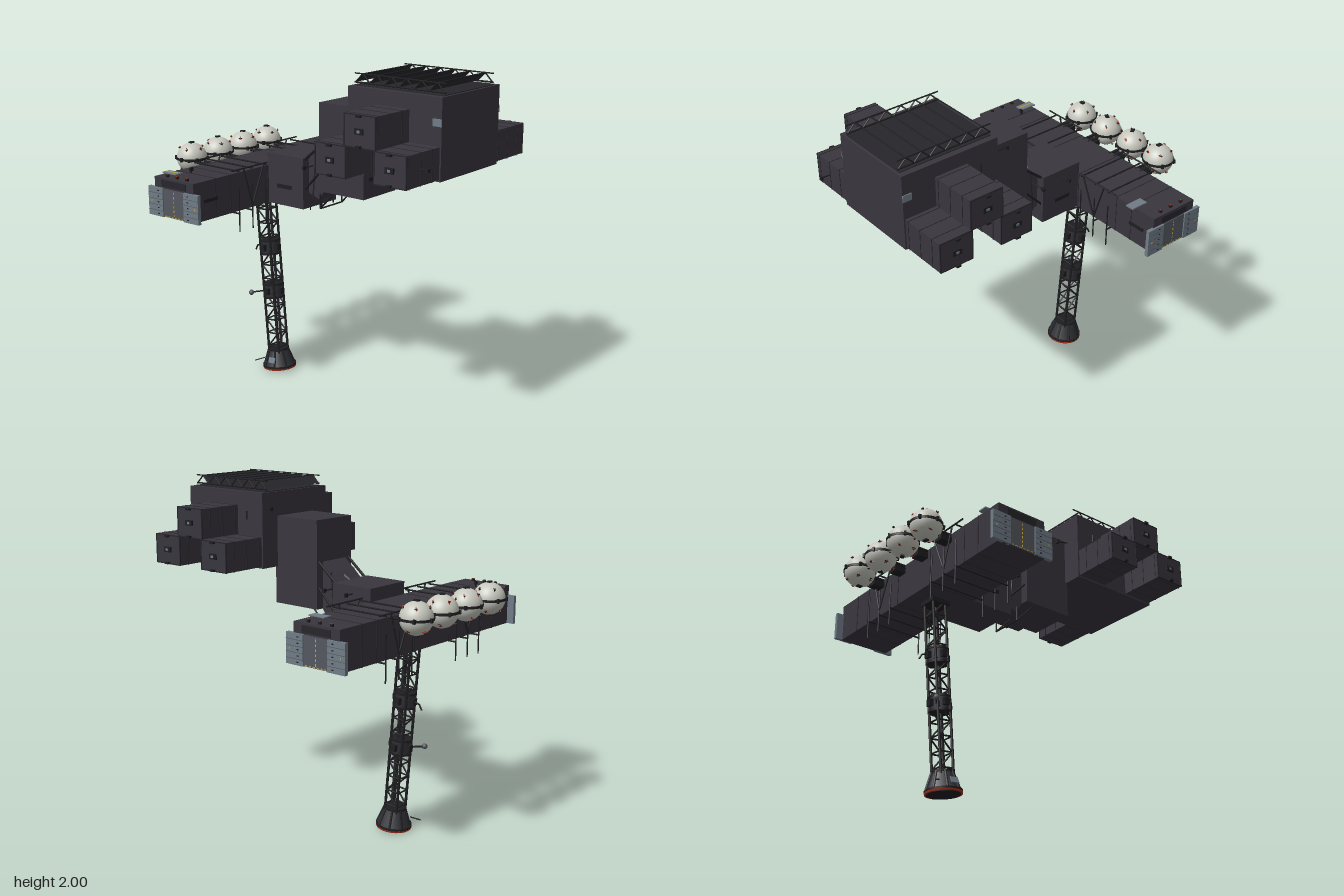
import * as THREE from 'three';

const mat = (name, color, side = THREE.FrontSide) => {
  const m = new THREE.MeshStandardMaterial({ color, side });
  m.name = name;
  return m;
};

export function createModel() {
  const hull = mat('hull', 0x39363e);
  const seam = mat('seam', 0x27262b);
  const frame = mat('frame', 0x1f1f22);
  const sheet = mat('roof sheet', 0x2a292f, THREE.DoubleSide);
  const steel = mat('steel', 0x707c87);
  const panel = mat('panel', 0x54585f);
  const white = mat('tank white', 0xc6c7bd);
  const red = mat('red', 0xa8301c);
  const yellow = mat('yellow', 0xc9a62e);
  const footGrey = mat('foot grey', 0x2f3035);

  const root = new THREE.Group();
  root.name = 'station';

  const add = (parent, name, geo, m, x = 0, y = 0, z = 0) => {
    const mesh = new THREE.Mesh(geo, m);
    mesh.name = name;
    mesh.position.set(x, y, z);
    parent.add(mesh);
    return mesh;
  };
  // Box given by its lower and upper corners
  const block = (parent, name, a, b, m) =>
    add(parent, name, new THREE.BoxGeometry(b[0] - a[0], b[1] - a[1], b[2] - a[2]), m,
      (a[0] + b[0]) / 2, (a[1] + b[1]) / 2, (a[2] + b[2]) / 2);
  const box = (parent, name, w, h, d, m, x, y, z) =>
    add(parent, name, new THREE.BoxGeometry(w, h, d), m, x, y, z);
  // Thin rod between two points
  const rod = (parent, name, a, b, m = frame, r = 0.005) => {
    const p = new THREE.Vector3(...a), q = new THREE.Vector3(...b);
    const mesh = add(parent, name, new THREE.CylinderGeometry(r, r, p.distanceTo(q), 6), m);
    mesh.position.copy(p).add(q).multiplyScalar(0.5);
    mesh.quaternion.setFromUnitVectors(new THREE.Vector3(0, 1, 0), q.sub(p).normalize());
    return mesh;
  };

  // Main hull blocks
  block(root, 'crossModule', [-0.72, 1.14, -0.775], [-0.405, 1.37, 0.775], hull);
  block(root, 'linkModule', [-0.41, 1.14, -0.152], [-0.133, 1.445, 0.152], hull);
  block(root, 'towerModule', [-0.01, 1.27, -0.152], [0.315, 1.79, 0.152], hull);
  block(root, 'mainModule', [0.3, 1.49, -0.276], [0.912, 1.932, 0.276], hull);
  for (const z of [-0.6, -0.48, -0.16, 0.16, 0.48, 0.6])
    block(root, 'crossSeam', [-0.722, 1.139, z - 0.002], [-0.403, 1.372, z + 0.002], seam);

  // Angled joint between link and tower
  const joint = new THREE.Shape([[-0.14, 1.235], [-0.055, 1.205], [0, 1.28], [0, 1.555], [-0.075, 1.49], [-0.14, 1.43]]
    .map(p => new THREE.Vector2(...p)));
  const jointGeo = new THREE.ExtrudeGeometry(joint, { depth: 0.2, bevelEnabled: false });
  add(root, 'angledJoint', jointGeo, hull, 0, 0, -0.1);
  for (const s of [-1, 1]) {
    rod(root, 'jointRail', [-0.145, 1.43, s * 0.13], [0, 1.55, s * 0.13], frame, 0.008);
    rod(root, 'jointRail', [-0.145, 1.25, s * 0.13], [0, 1.4, s * 0.13], frame, 0.007);
    rod(root, 'jointSeam', [-0.1, 1.215, s * 0.1], [-0.075, 1.49, s * 0.1], seam, 0.005);
    rod(root, 'jointBrace', [-0.045, 1.15, s * 0.1], [0.07, 1.27, s * 0.1], frame, 0.005);
    rod(root, 'jointBrace', [-0.045, 1.15, s * 0.1], [-0.045, 1.24, s * 0.1], frame, 0.005);
  }
  rod(root, 'jointBraceFoot', [-0.045, 1.15, -0.1], [-0.045, 1.15, 0.1]);
  const label = box(root, 'jointLabel', 0.05, 0.006, 0.03, steel, -0.12, 1.453, -0.01);
  label.rotation.set(0, 0.7, 0.7);

  // Side pods in a pyramid on both flanks of the main module
  for (const s of [-1, 1]) {
    for (const [x, y] of [[0.412, 1.588], [0.605, 1.763], [0.8, 1.588]]) {
      const pod = new THREE.Group();
      pod.name = 'sidePod';
      pod.position.set(x, y, s * 0.42);
      root.add(pod);
      box(pod, 'podBody', 0.205, 0.174, 0.29, hull, 0, 0, 0);
      for (const z of [-0.08, 0.02, 0.12]) box(pod, 'podSeam', 0.209, 0.178, 0.004, seam, 0, 0, z);
      for (const t of [-1, 1]) {
        box(pod, 'podEdge', 0.207, 0.006, 0.006, seam, 0, t * 0.085, s * 0.144);
        box(pod, 'podEdge', 0.006, 0.176, 0.006, seam, t * 0.101, 0, s * 0.144);
      }
      box(pod, 'podHatch', 0.055, 0.032, 0.012, frame, 0, 0, s * 0.149);
      box(pod, 'hatchPlate', 0.018, 0.014, 0.004, steel, 0, 0, s * 0.156);
      box(pod, 'podLatch', 0.028, 0.012, 0.022, frame, 0, 0.08, s * 0.153);
      box(pod, 'podLatch', 0.028, 0.012, 0.022, frame, 0, -0.08, s * 0.153);
    }
    box(root, 'mainLabel', 0.055, 0.04, 0.006, steel, 0.885, 1.8, s * 0.278);
    rod(root, 'mainHandle', [0.42, 1.77, s * 0.285], [0.42, 1.82, s * 0.285], frame, 0.004);
  }

  // Roof: folded sheet on end trusses
  const roof = new THREE.Group();
  roof.name = 'roofArray';
  root.add(roof);
  block(roof, 'roofDeck', [0.315, 1.93, -0.24], [0.897, 1.936, 0.24], seam);
  const folds = 6, x0 = 0.315, step = 0.58 / folds;
  const fold = (x1, y1, x2, y2) => {
    const m = add(roof, 'roofFold', new THREE.PlaneGeometry(Math.hypot(x2 - x1, y2 - y1), 0.45), sheet,
      (x1 + x2) / 2, (y1 + y2) / 2, 0);
    m.rotation.set(-Math.PI / 2, Math.atan2(y1 - y2, x2 - x1), 0);
  };
  for (let i = 0; i < folds; i++) {
    const x = x0 + i * step;
    fold(x, 1.948, x + step * 0.5, 1.995);
    for (const z of [-0.228, 0.228]) {
      rod(roof, 'roofDiagonal', [x, 1.948, z], [x + step / 2, 1.996, z], frame, 0.004);
      rod(roof, 'roofDiagonal', [x + step / 2, 1.996, z], [x + step, 1.948, z], frame, 0.004);
    }
    rod(roof, 'roofRidge', [x + step / 2, 1.995, -0.23], [x + step / 2, 1.995, 0.23], frame, 0.004);
  }
  for (const z of [-0.228, 0.228]) {
    rod(roof, 'roofRail', [0.31, 1.996, z], [0.9, 1.996, z], frame, 0.004);
    rod(roof, 'roofRail', [0.31, 1.948, z], [0.9, 1.948, z], frame, 0.005);
  }

  // Armoured end caps of the cross module
  for (const s of [-1, 1]) {
    const cap = new THREE.Group();
    cap.name = 'endCap';
    cap.position.set(-0.5625, 0, s * 0.776);
    root.add(cap);
    box(cap, 'capCentre', 0.17, 0.165, 0.008, panel, 0, 1.225, 0);
    for (const t of [-1, 1]) {
      box(cap, 'capPlate', 0.118, 0.17, 0.022, steel, t * 0.143, 1.225, 0);
      for (let i = 1; i < 5; i++) box(cap, 'plateSeam', 0.118, 0.003, 0.002, panel, t * 0.143, 1.14 + i * 0.034, s * 0.011);
      for (let i = 0; i < 5; i++) box(cap, 'plateBolt', 0.012, 0.006, 0.003, frame, t * 0.12, 1.157 + i * 0.034, s * 0.011);
      box(cap, 'capDot', 0.008, 0.008, 0.003, yellow, t * 0.175, 1.225, s * 0.0115);
    }
    for (let i = 0; i < 6; i++) {
      box(cap, 'centreDash', 0.005, 0.014, 0.003, yellow, 0, 1.16 + i * 0.026, s * 0.004);
      box(cap, 'baseDash', 0.014, 0.005, 0.003, yellow, -0.065 + i * 0.026, 1.147, s * 0.004);
    }
    for (const x of [-0.08, 0, 0.08]) {
      box(cap, 'topLamp', 0.016, 0.014, 0.014, frame, x, 1.377, -s * 0.03);
      box(cap, 'lampGlass', 0.009, 0.006, 0.009, red, x, 1.385, -s * 0.03);
    }
    box(cap, 'capHatch', 0.2, 0.04, 0.006, seam, 0, 1.338, 0);
  }
  box(root, 'roofLabel', 0.11, 0.008, 0.055, steel, -0.435, 1.372, -0.605);
  box(root, 'roofLabel', 0.11, 0.008, 0.055, steel, -0.69, 1.372, 0.665);
  box(root, 'labelStripe', 0.1, 0.003, 0.008, yellow, -0.69, 1.377, 0.665);
  for (const s of [-1, 1]) {
    box(root, 'vent', 0.008, 0.02, 0.11, frame, -0.403, 1.255, s * 0.645);
    box(root, 'vent', 0.11, 0.024, 0.008, frame, -0.28, 1.255, s * 0.152);
  }
  box(root, 'vent', 0.008, 0.02, 0.1, frame, 0.315, 1.38, 0.06);

  // Outrigger racks around the cross module
  for (const s of [-1, 1]) {
    for (const x of [-0.743, -0.383]) {
      rod(root, 'rackRail', [x, 1.395, s * 0.19], [x, 1.395, s * 0.49]);
      for (const z of [0.205, 0.32, 0.432]) rod(root, 'rackPost', [x, 1.02, s * z], [x, 1.29, s * z], frame, 0.004);
      rod(root, 'rackStrut', [x, 1.39, s * 0.39], [x, 1.16, s * 0.32]);
      rod(root, 'rackStrut', [x, 1.39, s * 0.22], [x, 1.16, s * 0.32]);
    }
    for (const z of [0.205, 0.32, 0.432]) {
      rod(root, 'rackCrossbar', [-0.745, 1.385, s * z], [-0.38, 1.385, s * z]);
      rod(root, 'rackCrossbar', [-0.745, 1.13, s * z], [-0.38, 1.13, s * z]);
    }
  }

  // Spherical tanks with star-shaped studs
  const star = new THREE.Shape();
  for (let i = 0; i < 10; i++) {
    const r = i % 2 ? 0.006 : 0.014, a = i * Math.PI / 5;
    star[i ? 'lineTo' : 'moveTo'](r * Math.sin(a), r * Math.cos(a));
  }
  const starGeo = new THREE.ExtrudeGeometry(star, { depth: 0.005, bevelEnabled: false });
  [-0.344, -0.12, 0.105, 0.33].forEach((z, k) => {
    const tank = new THREE.Group();
    tank.name = 'tank';
    tank.position.set(-0.873, 1.38, z);
    tank.rotation.y = k * 0.55;
    root.add(tank);
    add(tank, 'tankShell', new THREE.SphereGeometry(0.092, 32, 20), white);
    add(tank, 'tankBand', new THREE.CylinderGeometry(0.096, 0.096, 0.014, 32), frame);
    box(tank, 'topPort', 0.03, 0.012, 0.022, frame, 0, 0.093, 0);
    box(tank, 'bottomPort', 0.03, 0.012, 0.022, frame, 0, -0.093, 0);
    for (const lat of [-0.7, 0.7]) for (let i = 0; i < 5; i++) {
      const a = i * Math.PI * 0.4 + (lat > 0 ? 0 : 0.6);
      const n = new THREE.Vector3(Math.cos(lat) * Math.sin(a), Math.sin(lat), Math.cos(lat) * Math.cos(a));
      const m = add(tank, 'starStud', starGeo, i % 2 ? red : frame);
      m.position.copy(n).multiplyScalar(0.0905);
      m.lookAt(n.clone().multiplyScalar(2));
      rod(tank, 'studPin', n.clone().multiplyScalar(0.09).toArray(), n.clone().multiplyScalar(0.102).toArray(), i % 2 ? frame : red, 0.005);
    }
    for (let i = 0; i < 6; i++) {
      const a = i * Math.PI / 3;
      box(tank, 'bandLug', 0.014, 0.024, 0.014, frame, 0.096 * Math.cos(a), 0, 0.096 * Math.sin(a));
    }
    block(root, 'tankMount', [-0.79, 1.315, z - 0.03], [-0.72, 1.35, z + 0.03], frame);
    for (const t of [-0.02, 0.02]) rod(root, 'tankPipe', [-0.8, 1.365, z + t], [-0.7, 1.365, z + t], frame, 0.008);
  });

  // Leaning lattice leg
  const leg = new THREE.Group();
  leg.name = 'leg';
  leg.position.set(-0.475, 0.01, 0);
  leg.rotation.z = 0.085;
  root.add(leg);
  const w = 0.042;
  for (const x of [-w, w]) for (const z of [-w, w]) rod(leg, 'legChord', [x, 0.1, z], [x, 1.135, z], frame, 0.008);
  for (let i = 0; i < 11; i++) {
    const y = 0.14 + i * 0.09, d = i % 2 ? -w : w;
    for (const s of [-w, w]) {
      rod(leg, 'legRung', [s, y, -w], [s, y, w]);
      rod(leg, 'legRung', [-w, y, s], [w, y, s]);
      rod(leg, 'legDiagonal', [-d, y, s], [d, y + 0.09, s]);
    }
  }
  rod(leg, 'legCable', [0.015, 0.15, -0.015], [0.015, 1.12, -0.015], seam, 0.009);
  for (const y of [0.51, 0.795]) {
    add(leg, 'collar', new THREE.CylinderGeometry(0.058, 0.058, 0.085, 8), footGrey, 0, y, 0);
    for (const t of [-0.042, 0.042]) add(leg, 'collarRing', new THREE.CylinderGeometry(0.066, 0.066, 0.012, 8), frame, 0, y + t, 0);
    for (let i = 0; i < 4; i++) {
      const a = i * Math.PI / 2;
      box(leg, 'collarBox', 0.032, 0.04, 0.032, frame, 0.06 * Math.cos(a), y, 0.06 * Math.sin(a));
    }
  }
  rod(leg, 'lampArm', [-0.05, 0.505, 0.04], [-0.095, 0.505, 0.1], frame, 0.005);
  add(leg, 'lamp', new THREE.SphereGeometry(0.017, 12, 8), panel, -0.095, 0.505, 0.105);
  rod(leg, 'hook', [-0.05, 0.8, 0], [-0.105, 0.79, 0]);
  rod(leg, 'hook', [-0.105, 0.79, 0], [-0.125, 0.76, 0]);
  block(root, 'legSocket', [-0.625, 1.115, -0.06], [-0.505, 1.145, 0.06], frame);
  rod(root, 'socketBrace', [-0.55, 1.13, -0.04], [-0.53, 1.055, -0.1], frame, 0.009);

  // Foot
  add(leg, 'footCone', new THREE.CylinderGeometry(0.06, 0.1, 0.105, 12), footGrey, 0, 0.069, 0);
  add(leg, 'footTop', new THREE.CylinderGeometry(0.066, 0.066, 0.014, 12), frame, 0, 0.12, 0);
  add(leg, 'footRim', new THREE.CylinderGeometry(0.106, 0.106, 0.012, 24), frame, 0, 0.014, 0);
  add(leg, 'footRedRim', new THREE.CylinderGeometry(0.107, 0.105, 0.01, 24), red, 0, 0.004, 0);
  add(leg, 'footSole', new THREE.CylinderGeometry(0.095, 0.095, 0.004, 24), frame, 0, -0.001, 0);
  for (let i = 0; i < 8; i++) {
    const a = (i + 0.5) * Math.PI / 4, c = Math.cos(a), s = Math.sin(a);
    rod(leg, 'footRib', [0.098 * c, 0.02, 0.098 * s], [0.062 * c, 0.12, 0.062 * s], frame, 0.007);
  }
  const footLabel = box(leg, 'footLabel', 0.05, 0.035, 0.006, steel, 0.015, 0.062, 0.084);
  footLabel.rotation.x = -0.36;
  rod(leg, 'footProbe', [-0.07, 0.06, 0.06], [-0.12, 0.045, 0.1], frame, 0.004);

  // Antennas and probes
  const antenna = (a, b) => {
    rod(root, 'antenna', a, b, frame, 0.004);
    box(root, 'antennaTip', 0.012, 0.022, 0.022, frame, ...b);
  };
  antenna([0.9, 1.59, 0.45], [0.955, 1.59, 0.45]);
  antenna([0.31, 1.845, -0.27], [0.235, 1.845, -0.27]);
  antenna([0.31, 1.77, 0.18], [0.22, 1.75, 0.18]);
  antenna([-0.28, 1.4, -0.15], [-0.28, 1.4, -0.21]);
  antenna([-0.1, 1.4, 0.1], [-0.1, 1.4, 0.18]);
  antenna([-0.1, 1.4, -0.1], [-0.1, 1.4, -0.19]);
  antenna([-0.6, 1.37, 0.6], [-0.6, 1.395, 0.6]);
  return root;
}
